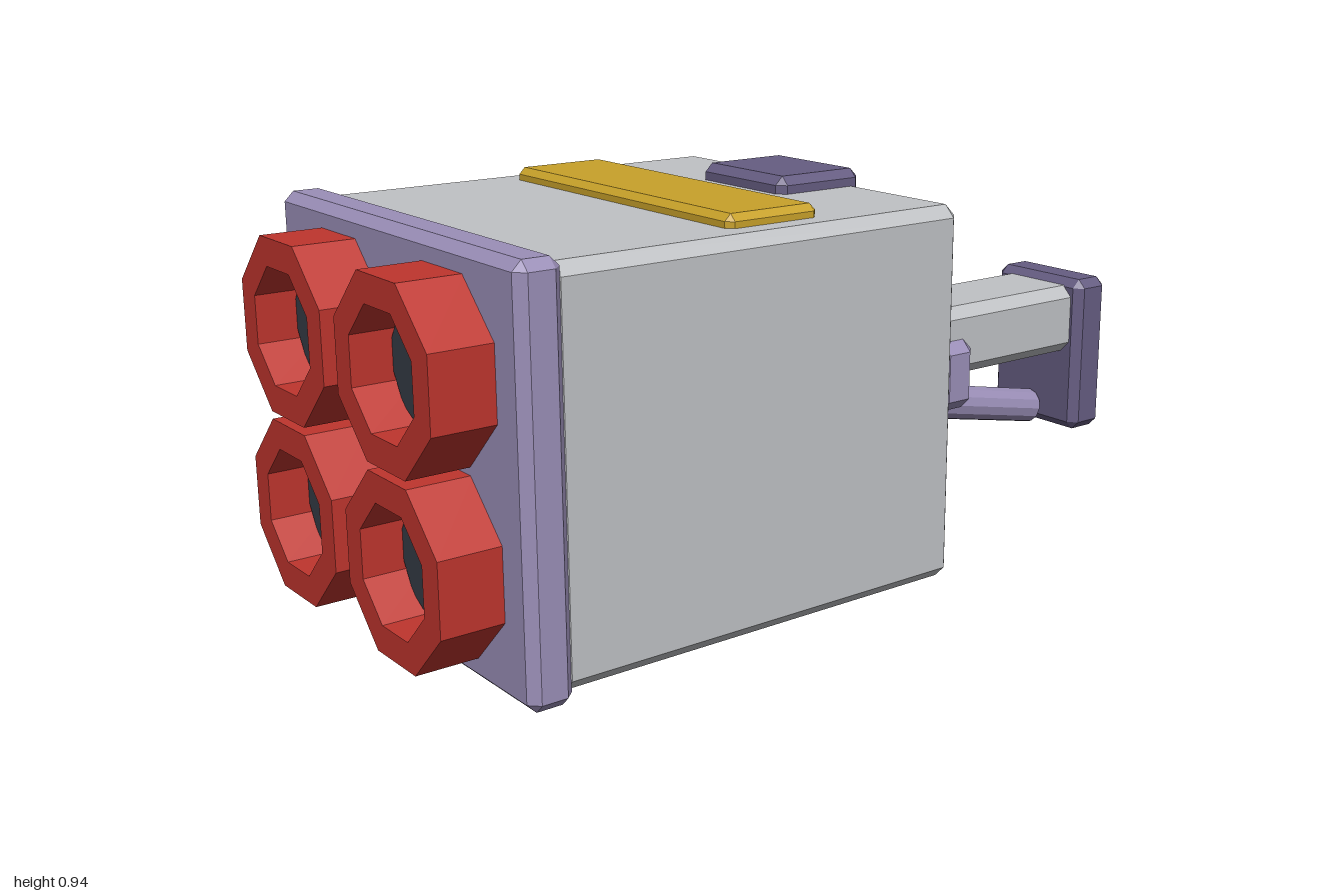
import * as THREE from 'three';
import { ConvexGeometry } from 'three/addons/geometries/ConvexGeometry.js';

const material = (name, color) => {
  const m = new THREE.MeshStandardMaterial({ color, flatShading: true });
  m.name = name;
  return m;
};

// Box with every edge cut by a chamfer of size c
function chamferBox(w, h, d, c) {
  const points = [];
  for (const x of [-1, 1]) for (const y of [-1, 1]) for (const z of [-1, 1]) {
    const a = w / 2, b = h / 2, e = d / 2;
    points.push(
      new THREE.Vector3(x * a, y * (b - c), z * (e - c)),
      new THREE.Vector3(x * (a - c), y * b, z * (e - c)),
      new THREE.Vector3(x * (a - c), y * (b - c), z * e));
  }
  return new ConvexGeometry(points);
}

// Regular octagon with flat top, given by its apothem
function octagon(Type, apothem) {
  const r = apothem / Math.cos(Math.PI / 8), pts = [];
  for (let i = 0; i < 8; i++) {
    const a = (i + 0.5) * Math.PI / 4;
    pts.push(new THREE.Vector2(r * Math.cos(a), r * Math.sin(a)));
  }
  return new Type(pts);
}

export function createModel() {
  const group = new THREE.Group();
  const grey = material('light grey', 0xc0c2c5);
  const purple = material('lavender', 0x9b8fb8);
  const darkPurple = material('dark purple', 0x665d82);
  const red = material('red', 0xbf352e);
  const yellow = material('yellow', 0xc9a22a);
  const dark = material('charcoal', 0x343b45);

  const add = (name, geometry, mat) => {
    const mesh = new THREE.Mesh(geometry, mat);
    mesh.name = name;
    group.add(mesh);
    return mesh;
  };
  // Chamfered box centred on x, given by half width and y and z ranges
  const block = (name, mat, hw, y0, y1, z0, z1, c, x = 0) => {
    const mesh = add(name, chamferBox(hw * 2, y1 - y0, z1 - z0, c), mat);
    mesh.position.set(x, (y0 + y1) / 2, (z0 + z1) / 2);
    return mesh;
  };

  // Launcher housing
  block('housing', grey, 0.455, 0.11, 0.91, -0.18, 0.8, 0.025);
  block('frontPlate', purple, 0.472, 0.095, 0.925, 0.775, 0.87, 0.02);
  block('topStripe', yellow, 0.385, 0.895, 0.937, 0.14, 0.36, 0.014);
  block('topSight', darkPurple, 0.14, 0.868, 0.946, -0.185, 0.038, 0.018);

  // Four launch tubes
  const ringShape = octagon(THREE.Shape, 0.178);
  ringShape.holes.push(octagon(THREE.Path, 0.12));
  const ring = new THREE.ExtrudeGeometry(ringShape, { depth: 0.135, bevelEnabled: false });
  const bore = new THREE.CylinderGeometry(0.123, 0.123, 0.06, 12);
  bore.rotateY(Math.PI / 12).rotateX(Math.PI / 2);
  for (const x of [-0.208, 0.208]) for (const y of [0.325, 0.697]) {
    add('tubeRing', ring, red).position.set(x, y, 0.865);
    add('tubeBore', bore, dark).position.set(x, y, 0.885);
  }

  // Rear receiver and sight column
  block('receiver', purple, 0.18, 0.285, 0.612, -0.385, -0.15, 0.025);
  block('receiverCollar', grey, 0.2, 0.505, 0.625, -0.342, -0.15, 0.025);
  block('receiverBand', dark, 0.188, 0.43, 0.52, -0.197, -0.15, 0.006);
  block('sightBase', dark, 0.1, 0.6, 0.665, -0.28, -0.15, 0.012);
  block('sightPlate', grey, 0.115, 0.64, 0.83, -0.19, -0.15, 0.008);
  block('rearSight', darkPurple, 0.11, 0.68, 0.77, -0.218, -0.15, 0.02);
  for (const s of [-1, 1]) block('bolt', grey, 0.012, 0.345, 0.37, -0.19, -0.17, 0.004, s * 0.188);

  // Slanted grip and trigger
  const grip = add('grip', chamferBox(0.196, 0.4, 0.18, 0.026), darkPurple);
  grip.position.set(0, 0.212, -0.137);
  grip.rotation.x = -0.18;
  block('trigger', darkPurple, 0.02, 0.102, 0.16, -0.02, 0.088, 0.008);

  // Shoulder stock
  block('stockBar', grey, 0.114, 0.42, 0.585, -0.93, -0.415, 0.026);
  block('stockBracket', purple, 0.14, 0.345, 0.51, -0.557, -0.442, 0.026);
  block('shoulderPad', darkPurple, 0.14, 0.222, 0.602, -1, -0.897, 0.02);
  const strut = add('stockStrut', new THREE.CylinderGeometry(0.042, 0.042, 0.41, 12), purple);
  strut.position.set(0, 0.303, -0.68);
  strut.rotation.x = Math.PI / 2 - 0.2;

  return group;
}
